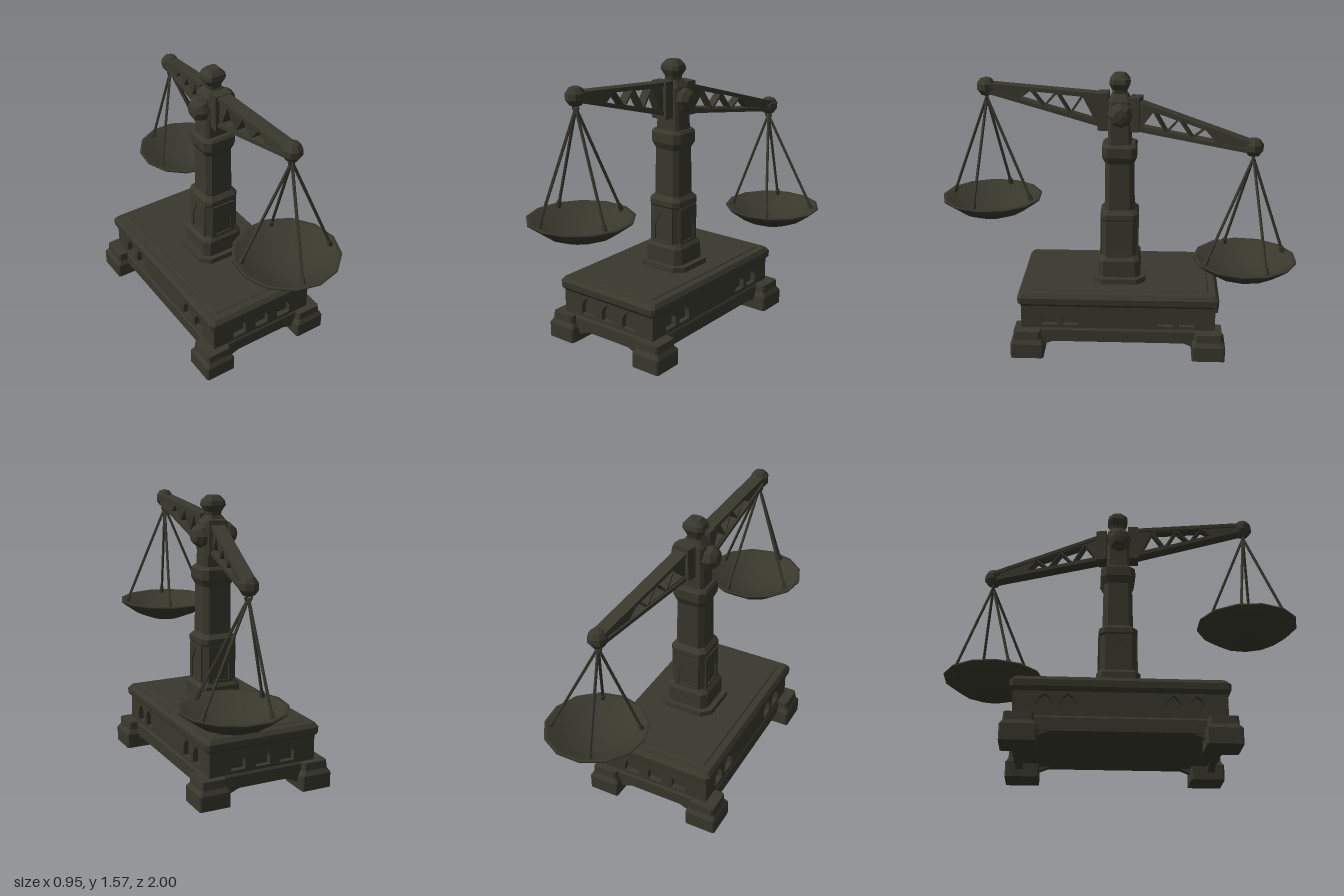
import * as THREE from 'three';

const iron = new THREE.MeshStandardMaterial({ color: 0x38382d });
iron.name = 'dark iron';

function add(parent, name, geo, x = 0, y = 0, z = 0) {
  const g = geo.index ? geo.toNonIndexed() : geo;
  g.computeVertexNormals();
  const m = new THREE.Mesh(g, iron);
  m.name = name;
  m.position.set(x, y, z);
  parent.add(m);
  return m;
}

// Stacked rectangular sections with cut corners: [y, halfX, halfZ, cut]
function loft(levels) {
  const first = levels[0], last = levels[levels.length - 1];
  const all = [[first[0], 0, 0, 0], ...levels, [last[0], 0, 0, 0]];
  const ring = ([y, a, b, c]) => [
    [a, y, -b + c], [a, y, b - c], [a - c, y, b], [-a + c, y, b],
    [-a, y, b - c], [-a, y, -b + c], [-a + c, y, -b], [a - c, y, -b]];
  const pos = [];
  for (let i = 0; i < all.length - 1; i++) {
    const lo = ring(all[i]), hi = ring(all[i + 1]);
    for (let k = 0; k < 8; k++) {
      const n = (k + 1) % 8;
      pos.push(...lo[k], ...hi[k], ...lo[n], ...lo[n], ...hi[k], ...hi[n]);
    }
  }
  const g = new THREE.BufferGeometry();
  g.setAttribute('position', new THREE.Float32BufferAttribute(pos, 3));
  return g;
}

const poly = (pts, Type = THREE.Shape) => new Type(pts.map(p => new THREE.Vector2(...p)));
const extrude = (shape, depth) => new THREE.ExtrudeGeometry(shape, { depth, bevelEnabled: false });

// Pointed arch outline
const arch = (x, y, w, h) => [
  [x - w, y], [x + w, y], [x + w, y + h * 0.5], [x + w * 0.6, y + h * 0.78],
  [x, y + h], [x - w * 0.6, y + h * 0.78], [x - w, y + h * 0.5]];

// Rod between two points
function rod(parent, name, a, b, r) {
  const dir = b.clone().sub(a);
  const mid = a.clone().add(b).multiplyScalar(0.5);
  const m = add(parent, name, new THREE.CylinderGeometry(r, r, dir.length(), 5), mid.x, mid.y, mid.z);
  m.quaternion.setFromUnitVectors(new THREE.Vector3(0, 1, 0), dir.normalize());
}

function buildBase() {
  const base = new THREE.Group();
  base.name = 'base';
  base.position.set(-0.08, 0, -0.015);
  const hx = 0.32, hz = 0.55;
  add(base, 'core', new THREE.BoxGeometry(0.58, 0.25, 1.04), 0, 0.2, 0);
  add(base, 'skirt', loft([[0.075, hx + 0.008, hz + 0.008, 0.02], [0.145, hx + 0.008, hz + 0.008, 0.02],
    [0.157, hx, hz, 0.02]]));

  // Four walls pierced by pointed niches
  const sides = [[hx, hz, 0], [hx, hz, Math.PI], [hz, hx, Math.PI / 2], [hz, hx, -Math.PI / 2]];
  for (const [half, out, turn] of sides) {
    const s = poly([[-half, 0.04], [-half + 0.1, 0.04], [-half + 0.19, 0.076], [half - 0.19, 0.076],
      [half - 0.1, 0.04], [half, 0.04], [half, 0.31], [-half, 0.31]]);
    const niches = half === hx ? [-0.15, 0, 0.15] : [-0.39, -0.27, 0.27, 0.39];
    for (const x of niches) s.holes.push(poly(arch(x, 0.175, 0.043, 0.105), THREE.Path));
    const g = extrude(s, 0.04);
    g.translate(0, 0, out - 0.04);
    add(base, 'nicheWall', g).rotation.y = turn;
  }

  // Moulded top
  add(base, 'cornice', loft([[0.29, 0.32, 0.55, 0.01], [0.31, 0.34, 0.567, 0.015], [0.345, 0.342, 0.569, 0.015],
    [0.368, 0.325, 0.55, 0.015], [0.368, 0.285, 0.51, 0.01], [0.374, 0.28, 0.505, 0.01]]));

  // Corner feet
  for (const sx of [-1, 1]) for (const sz of [-1, 1]) {
    add(base, 'foot', loft([[0, 0.09, 0.093, 0.008], [0.085, 0.09, 0.093, 0.008],
      [0.11, 0.075, 0.078, 0.01], [0.155, 0.072, 0.075, 0.01]]), sx * 0.31, 0, sz * 0.514);
  }
  return base;
}

function buildColumn() {
  const column = new THREE.Group();
  column.name = 'column';
  column.position.set(-0.048, 0, -0.015);
  add(column, 'plinth', loft([[0.36, 0.162, 0.152, 0.05], [0.405, 0.16, 0.15, 0.05], [0.405, 0.128, 0.122, 0.03],
    [0.5, 0.126, 0.12, 0.03], [0.525, 0.104, 0.102, 0.025]]));
  add(column, 'shaft', loft([[0.51, 0.1, 0.1, 0.025], [0.735, 0.1, 0.1, 0.025], [0.745, 0.108, 0.108, 0.03],
    [0.775, 0.108, 0.108, 0.03], [0.8, 0.086, 0.084, 0.025], [1.07, 0.083, 0.08, 0.025],
    [1.11, 0.102, 0.098, 0.03], [1.165, 0.102, 0.098, 0.03], [1.18, 0.09, 0.086, 0.03]]));
  // Raised arch frames on the lower shaft
  for (let i = 0; i < 4; i++) {
    const s = poly([[-0.075, 0.52], [0.075, 0.52], [0.075, 0.735], [-0.075, 0.735]]);
    s.holes.push(poly(arch(0, 0.535, 0.05, 0.175), THREE.Path));
    const g = extrude(s, 0.009);
    g.translate(0, 0, 0.099);
    add(column, 'archFrame', g).rotation.y = i * Math.PI / 2;
  }
  add(column, 'neck', loft([[1.17, 0.078, 0.066, 0.015], [1.42, 0.07, 0.06, 0.015], [1.46, 0.04, 0.042, 0.012]]));
  add(column, 'finial', loft([[1.45, 0.036, 0.036, 0.01], [1.48, 0.04, 0.042, 0.015], [1.515, 0.062, 0.058, 0.022],
    [1.54, 0.058, 0.054, 0.022], [1.568, 0.032, 0.03, 0.012]]));
  // Faceted pivot bosses
  for (const s of [-1, 1]) {
    const pts = [[0.035, 0], [0.05, 0.03], [0.07, 0.055], [0.066, 0.085], [0.04, 0.115], [0, 0.12]];
    const g = new THREE.LatheGeometry(pts.map(p => new THREE.Vector2(...p)), 8);
    g.rotateZ(-s * Math.PI / 2);
    add(column, 'pivotBoss', g, -0.005 + s * 0.015, 1.35, 0).rotation.y = 0.08;
  }
  return column;
}

// Tapered truss arm from the pivot to a knob
function buildArm(name, knob, start, inner, outer) {
  const arm = new THREE.Group();
  arm.name = name;
  const px = -0.05, pz = -0.01;
  const dx = knob.x - px, dz = knob.z - pz, L = Math.hypot(dx, dz);
  const at = (s, up) => THREE.MathUtils.mapLinear(s, start, L, inner[up], outer[up]);
  const s = poly([[start, at(start, 0)], [L, at(L, 0)], [L, at(L, 1)], [start, at(start, 1)]]);
  const step = 0.073, s0 = 0.125;
  for (let i = 0; i < 5; i++) {
    const m = 0.03 - i * 0.002, up = i % 2;
    const e = (q, u) => [q, at(q, u) + (u ? -m : m)];
    const n = s0 + i * step;
    s.holes.push(poly([e(n + 0.012, up), e(n + 2 * step - 0.012, up), e(n + step, 1 - up)], THREE.Path));
  }
  const turn = Math.atan2(-dz, dx);
  const truss = extrude(s, 0.056);
  truss.translate(0, 0, -0.028);
  add(arm, 'truss', truss, px, 0, pz).rotation.y = turn;
  // Rails along the top and bottom edges, and a solid cheek at the hub
  for (const u of [0, 1]) {
    const d = u ? -0.022 : 0.022;
    const rail = extrude(poly([[start, at(start, u)], [L, at(L, u)], [L, at(L, u) + d], [start, at(start, u) + d]]), 0.076);
    rail.translate(0, 0, -0.038);
    add(arm, 'rail', rail, px, 0, pz).rotation.y = turn;
  }
  const cheek = new THREE.BoxGeometry(0.06, inner[1] - inner[0] + 0.015, 0.1);
  cheek.translate(start + 0.025, (inner[0] + inner[1]) / 2, 0);
  add(arm, 'hubCheek', cheek, px, 0, pz).rotation.y = turn;
  add(arm, 'knob', new THREE.SphereGeometry(0.055, 8, 5), knob.x, knob.y, knob.z);
  return arm;
}

function buildPan(name, knob, x, y, z, phase) {
  const pan = new THREE.Group();
  pan.name = name;
  const pts = [[0, 0], [0.09, 0.006], [0.19, 0.045], [0.25, 0.088], [0.286, 0.115], [0.286, 0.125],
    [0.265, 0.122], [0.18, 0.07], [0.09, 0.042], [0, 0.036]];
  const dish = new THREE.Mesh(new THREE.LatheGeometry(pts.map(p => new THREE.Vector2(...p)), 13), iron);
  dish.name = 'dish';
  dish.position.set(x, y, z);
  pan.add(dish);
  const hook = new THREE.Vector3(knob.x, knob.y - 0.06, knob.z);
  add(pan, 'hookRing', new THREE.TorusGeometry(0.018, 0.007, 5, 8), hook.x, hook.y, hook.z);
  // Four hanging cords with small rim fixings
  for (let i = 0; i < 4; i++) {
    const a = phase + i * Math.PI / 2;
    const end = new THREE.Vector3(x + Math.cos(a) * 0.245, y + 0.115, z + Math.sin(a) * 0.245);
    rod(pan, 'cord', hook, end, 0.0085);
    rod(pan, 'cordFixing', end.clone().lerp(hook, 0.06), end, 0.014);
  }
  return pan;
}

export function createModel() {
  const model = new THREE.Group();
  model.name = 'balanceScale';
  const front = new THREE.Vector3(-0.08, 1.48, 0.73);
  const back = new THREE.Vector3(0.117, 1.205, -0.745);
  model.add(
    buildBase(),
    buildColumn(),
    buildArm('frontArm', front, 0.06, [1.26, 1.455], [1.45, 1.505]),
    buildArm('backArm', back, 0.07, [1.26, 1.435], [1.175, 1.235]),
    buildPan('frontPan', front, -0.077, 0.72, 0.722, 0.3),
    buildPan('backPan', back, 0.182, 0.465, -0.716, -0.42));
  return model;
}
